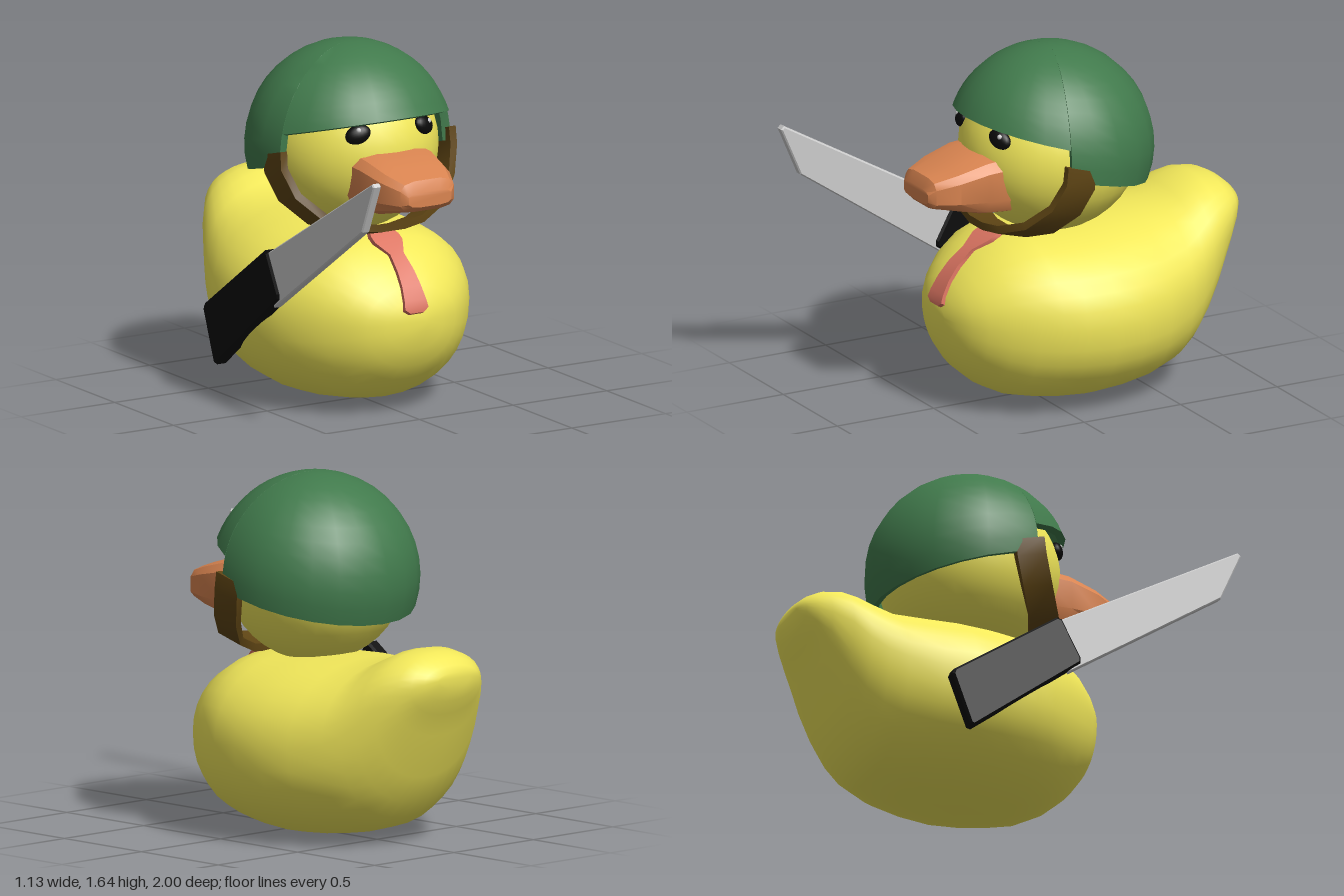
import * as THREE from 'three';
import { toCreasedNormals } from 'three/addons/utils/BufferGeometryUtils.js';

// Skins a list of closed cross-sections; crease = 0 keeps it fully smooth
function loft(rows, { crease = 0, ring = false } = {}) {
  const n = rows[0].length, m = rows.length, index = [];
  for (let i = 0; i < (ring ? m : m - 1); i++) {
    for (let j = 0; j < n; j++) {
      const k = (j + 1) % n, next = ((i + 1) % m) * n;
      const a = i * n + j, b = i * n + k, c = next + j, d = next + k;
      index.push(a, b, d, a, d, c);
    }
  }
  if (!ring) {
    const e = (m - 1) * n;
    for (let j = 1; j < n - 1; j++) index.push(0, j + 1, j, e, e + j, e + j + 1);
  }
  const geo = new THREE.BufferGeometry();
  geo.setAttribute('position', new THREE.Float32BufferAttribute(rows.flat(2), 3));
  geo.setIndex(index);
  geo.computeVertexNormals();
  return crease ? toCreasedNormals(geo, crease) : geo;
}

// Rounded section across z: half width, top, bottom, height of the widest point
function section(z, hw, top, bottom, mid, sides, power, turn = 0) {
  const soft = v => Math.sign(v) * Math.abs(v) ** power;
  return Array.from({ length: sides }, (_, j) => {
    const t = ((j + turn) / sides) * Math.PI * 2, s = soft(Math.sin(t));
    return [hw * soft(Math.cos(t)), mid + s * (s > 0 ? top - mid : mid - bottom), z];
  });
}

// Side outline given as (z, y), extruded across x and centred on x
function plate(points, x, width, bevel) {
  const shape = new THREE.Shape(points.map(p => new THREE.Vector2(...p)));
  const depth = width - 2 * bevel;
  const geo = new THREE.ExtrudeGeometry(shape, {
    depth, bevelSize: bevel, bevelOffset: -bevel, bevelThickness: bevel, bevelSegments: 1,
  });
  return geo.translate(0, 0, -depth / 2).rotateY(-Math.PI / 2).translate(x, 0, 0);
}

// Four corners of a strip section from a centre and two half vectors
function strip(c, w, o) {
  return [[1, -1], [1, 1], [-1, 1], [-1, -1]].map(([a, b]) => c.map((v, i) => v + a * w[i] + b * o[i]));
}

// Dome shell with a raised front opening and a sloped rim
function helmetGeometry() {
  const R = 0.475, inner = 0.44, cy = 1.175, cz = -0.1, slope = 0.26, rings = 12;
  const step = 1.275, azimuths = [];
  for (let i = 0; i <= 10; i++) azimuths.push(-step + (2 * step * i) / 10);
  for (let i = 0; i <= 14; i++) azimuths.push(step + 0.004 + ((2 * Math.PI - 2 * step - 0.008) * i) / 14);
  const rows = azimuths.map(phi => {
    const height = Math.abs(phi) <= step ? 1.283 : 1.137;
    const k = slope * Math.cos(phi);
    const rim = Math.acos((height - cy + slope * cz) / R / Math.hypot(1, k)) - Math.atan(k);
    const at = (r, t) => [
      r * Math.sin(t) * Math.sin(phi), cy + r * Math.cos(t), cz + r * Math.sin(t) * Math.cos(phi)];
    const row = [];
    for (let i = 0; i <= rings; i++) row.push(at(R, (rim * i) / rings));
    for (let i = rings; i >= 0; i--) row.push(at(inner, (rim * i) / rings));
    return row;
  });
  return loft(rows, { crease: 0.7, ring: true });
}

export function createModel() {
  const group = new THREE.Group();
  const paint = color => new THREE.MeshStandardMaterial({ color });
  const yellow = paint(0xf2e85a), green = paint(0x417a4c), brown = paint(0x5f4514);
  const orange = paint(0xd98450), coral = paint(0xdc7562), black = paint(0x0a0a0a);
  const grey = paint(0xcccccc), white = paint(0xffffff);
  const add = (name, geo, material, parent = group) => {
    const mesh = new THREE.Mesh(geo, material);
    mesh.name = name;
    parent.add(mesh);
    return mesh;
  };

  // Body from upturned tail to chest: z, half width, top, bottom, widest height
  const body = [
    [-1, 0.1, 0.83, 0.76, 0.8], [-0.985, 0.17, 0.86, 0.7, 0.79], [-0.95, 0.22, 0.89, 0.635, 0.77],
    [-0.9, 0.27, 0.915, 0.53, 0.74], [-0.82, 0.33, 0.925, 0.33, 0.68], [-0.75, 0.37, 0.912, 0.21, 0.6],
    [-0.68, 0.41, 0.88, 0.13, 0.54], [-0.6, 0.45, 0.845, 0.075, 0.5], [-0.45, 0.515, 0.838, 0.035, 0.46],
    [-0.3, 0.55, 0.838, 0.015, 0.45], [-0.15, 0.56, 0.83, 0.005, 0.45], [0, 0.54, 0.82, 0.015, 0.45],
    [0.1, 0.505, 0.82, 0.03, 0.45], [0.2, 0.455, 0.795, 0.05, 0.45], [0.3, 0.385, 0.74, 0.1, 0.45],
    [0.38, 0.305, 0.67, 0.17, 0.45], [0.43, 0.235, 0.61, 0.24, 0.45], [0.465, 0.15, 0.55, 0.32, 0.45],
    [0.48, 0.06, 0.49, 0.4, 0.45],
  ];
  add('body', loft(body.map(([z, hw, top, bot, mid]) => section(z, hw, top, bot, mid, 32, 0.92))), yellow);

  // Head
  add('head', new THREE.SphereGeometry(1, 32, 20).scale(0.4, 0.4, 0.42).translate(0, 1.18, -0.1), yellow);

  // Bill: z, half width, top, bottom, widest height
  const bill = [
    [0.15, 0.21, 1.23, 0.92, 1.1], [0.32, 0.21, 1.215, 0.935, 1.1], [0.46, 0.19, 1.175, 0.97, 1.08],
    [0.565, 0.145, 1.14, 0.995, 1.06], [0.592, 0.115, 1.09, 1.02, 1.055],
  ];
  add('bill', loft(bill.map(([z, hw, top, bot, mid]) => section(z, hw, top, bot, mid, 12, 0.55, 0.5)),
    { crease: 0.55 }), orange);

  // Eyes with small glints
  for (const side of [-1, 1]) {
    const eye = new THREE.Group();
    eye.name = side > 0 ? 'leftEye' : 'rightEye';
    eye.position.set(side * 0.175, 1.305, 0.255);
    eye.rotation.set(-0.25, side * 0.45, -side * 0.35, 'YXZ');
    group.add(eye);
    add('eyeball', new THREE.SphereGeometry(1, 20, 14).scale(0.06, 0.043, 0.03), black, eye);
    add('glint', new THREE.SphereGeometry(0.012, 10, 8).translate(0.008, 0.016, 0.023), white, eye);
  }

  // Helmet and chin strap
  add('helmet', helmetGeometry(), green);
  const half = [[0.45, 1.2, -0.01], [0.452, 1.12, 0], [0.41, 1, 0.05], [0.31, 0.9, 0.13],
    [0.17, 0.85, 0.19], [0.06, 0.838, 0.21]];
  const path = [...half.map(([x, y, z]) => [-x, y, z]), ...half.slice().reverse()];
  add('chinStrap', loft(path.map((c, i) => {
    const a = path[Math.max(i - 1, 0)], b = path[Math.min(i + 1, path.length - 1)];
    const dx = b[0] - a[0], dy = b[1] - a[1], l = Math.hypot(dx, dy) / 0.018;
    return strip(c, [0, 0.02, 0.072], [dy / l, -dx / l, 0]);
  }), { crease: 0.6 }), brown);

  // Necktie draped on the chest: y, z, half width
  const tie = [
    [0.495, 0.482, 0.035], [0.515, 0.48, 0.062], [0.55, 0.467, 0.057], [0.61, 0.434, 0.049],
    [0.67, 0.386, 0.043], [0.735, 0.31, 0.036], [0.78, 0.24, 0.073], [0.8, 0.205, 0.073], [0.825, 0.15, 0.05],
  ];
  add('necktie', loft(tie.map(([y, z, hw]) => strip([-0.008, y, z], [0, 0.007, 0.012], [hw, 0, 0])),
    { crease: 0.6 }), coral);

  // Knife held at the right side
  const knife = new THREE.Group();
  knife.name = 'knife';
  group.add(knife);
  add('blade', plate([[0.985, 1.28], [1, 1.265], [0.9, 1.035], [0.15, 0.525], [0.06, 0.75]],
    -0.537, 0.044, 0.006), grey, knife);
  add('handle', plate([[0.2, 0.575], [0.2, 0.6], [0.105, 0.775], [0.08, 0.78], [-0.43, 0.425], [-0.44, 0.4],
    [-0.35, 0.165], [-0.33, 0.16]].reverse(), -0.537, 0.066, 0.01), black, knife);

  return group;
}
